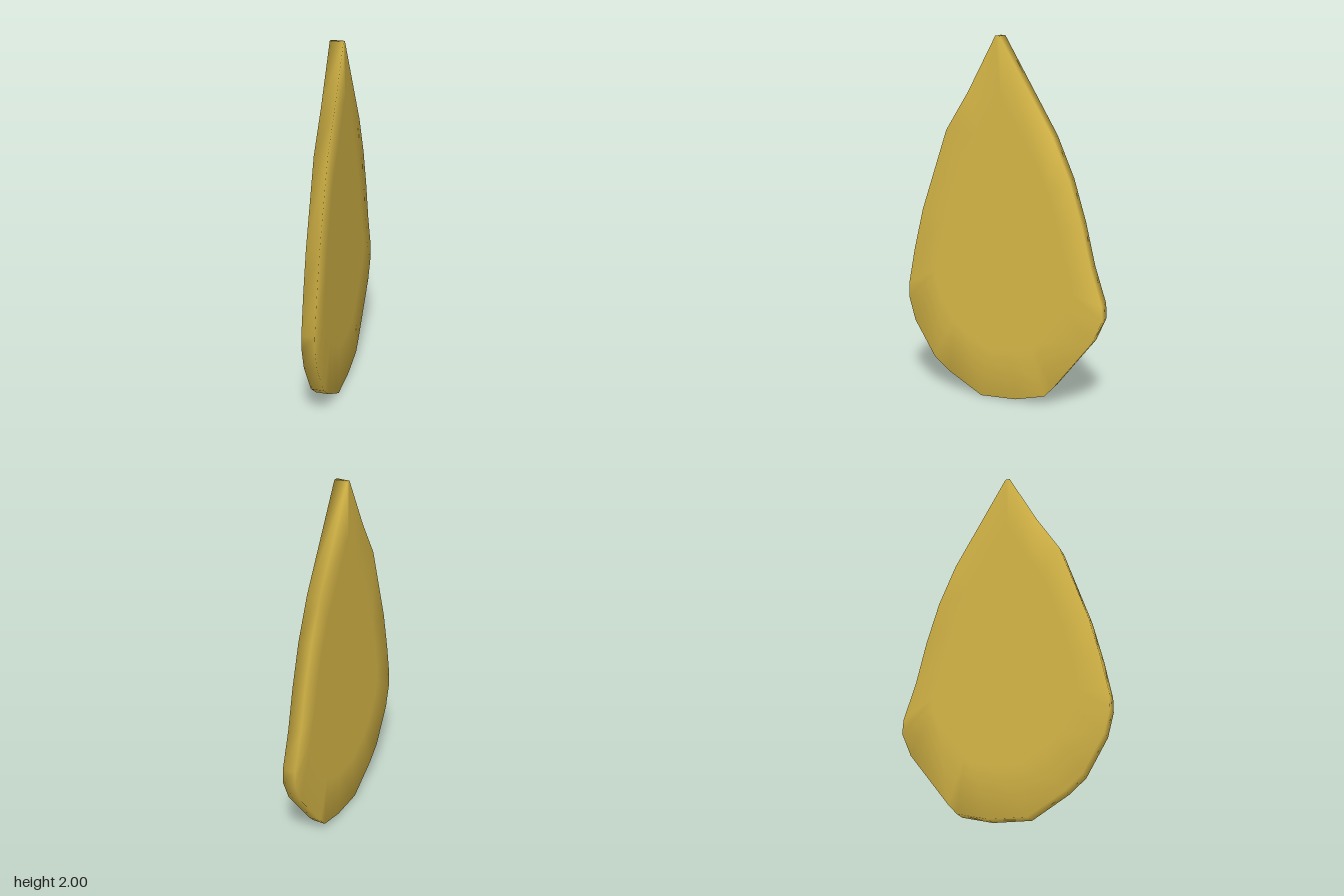
import * as THREE from 'three';

// Teardrop outline as [z, y], counter-clockwise seen from +x
const OUTLINE = [
  [0.04, 2], [0.2, 1.7], [0.33, 1.49], [0.48, 1.04], [0.535, 0.81], [0.575, 0.6],
  [0.575, 0.52], [0.54, 0.39], [0.42, 0.19], [0.33, 0.115], [0.13, 0], [-0.08, 0.01],
  [-0.25, 0.055], [-0.3, 0.11], [-0.52, 0.4], [-0.575, 0.53], [-0.57, 0.61],
  [-0.505, 0.81], [-0.45, 1.04], [-0.38, 1.27], [-0.285, 1.49], [0.015, 2],
];
const HALF_THICKNESS = 0.036;
const CENTRE_Y = 0.95;

// Concentric rings [x, scale]: flat face, rim, opposite flat face.
// Shared rim vertices give the edge its soft shading.
const RINGS = [
  [HALF_THICKNESS, 0], [HALF_THICKNESS, 0.7], [HALF_THICKNESS, 1],
  [-HALF_THICKNESS, 1], [-HALF_THICKNESS, 0.7], [-HALF_THICKNESS, 0],
];

function plateGeometry() {
  const positions = [];
  const indices = [];
  const n = OUTLINE.length;
  for (const [x, s] of RINGS) {
    for (const [z, y] of OUTLINE) positions.push(x, CENTRE_Y + (y - CENTRE_Y) * s, z * s);
  }
  for (let r = 0; r < RINGS.length - 1; r++) {
    for (let i = 0; i < n; i++) {
      const j = (i + 1) % n;
      const a = r * n + i, b = a + n, c = (r + 1) * n + j, d = r * n + j;
      if (RINGS[r + 1][1] > 0) indices.push(a, b, c);
      if (RINGS[r][1] > 0) indices.push(a, c, d);
    }
  }
  const geometry = new THREE.BufferGeometry();
  geometry.setAttribute('position', new THREE.Float32BufferAttribute(positions, 3));
  geometry.setIndex(indices);
  geometry.computeVertexNormals();
  return geometry;
}

export function createModel() {
  const group = new THREE.Group();
  group.name = 'teardropPlate';

  // Thin golden plate standing on its rounded end
  const plate = new THREE.Mesh(plateGeometry(), new THREE.MeshStandardMaterial({ color: 0xd9b948 }));
  plate.name = 'plate';
  group.add(plate);

  return group;
}
